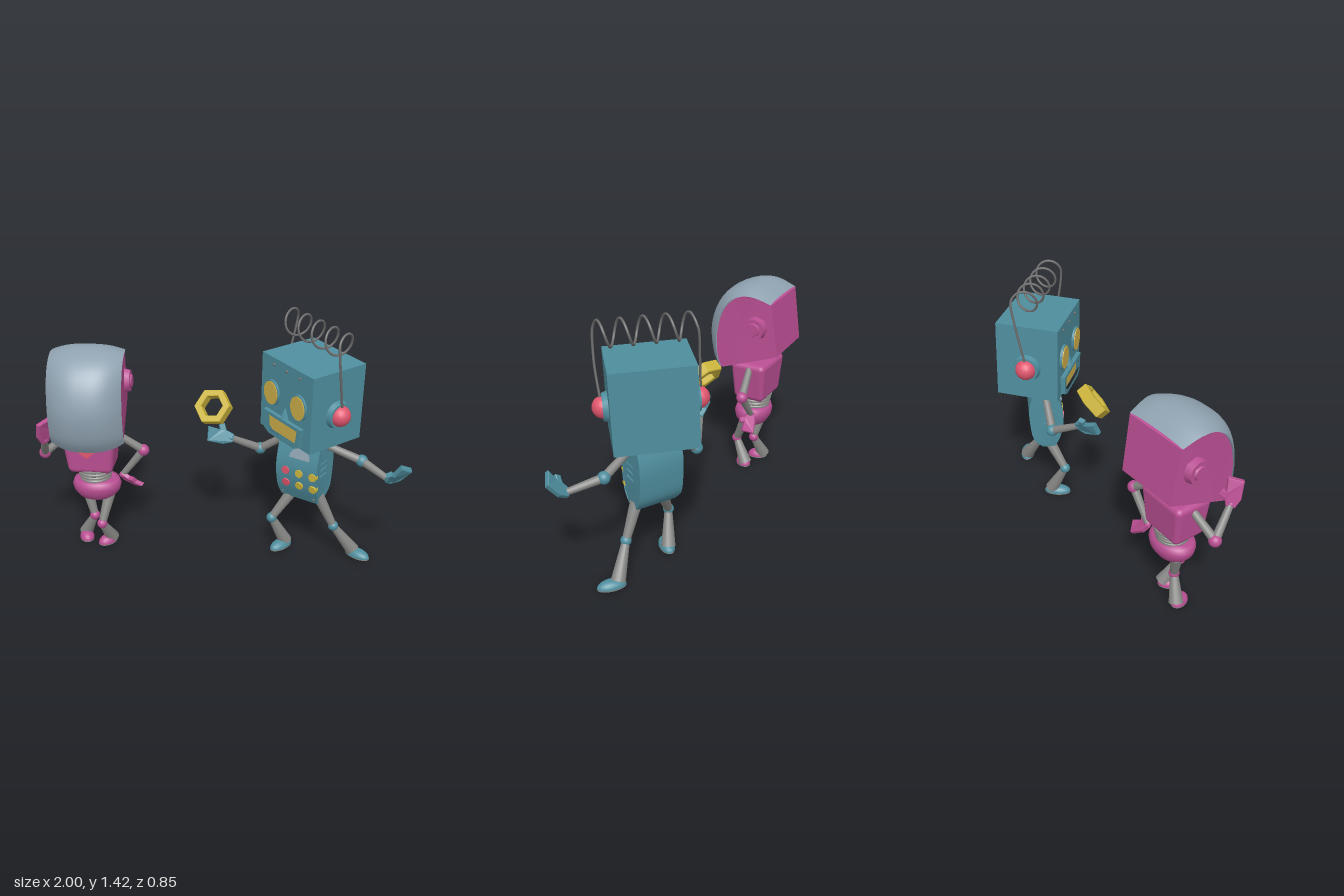
import * as THREE from 'three';
import { toCreasedNormals } from 'three/addons/utils/BufferGeometryUtils.js';
import { RoundedBoxGeometry } from 'three/addons/geometries/RoundedBoxGeometry.js';

const V = (a) => new THREE.Vector3(...a);
const UP = new THREE.Vector3(0, 1, 0);

function mat(name, color, side = THREE.FrontSide) {
  const m = new THREE.MeshStandardMaterial({ color, side });
  m.name = name;
  return m;
}

function add(parent, name, geo, material, pos = [0, 0, 0], rot = [0, 0, 0]) {
  const m = new THREE.Mesh(geo, material);
  m.name = name;
  m.position.set(...pos);
  m.rotation.set(...rot);
  parent.add(m);
  return m;
}

function group(parent, name, pos = [0, 0, 0], yaw = 0) {
  const g = new THREE.Group();
  g.name = name;
  g.position.set(...pos);
  g.rotation.y = yaw;
  parent.add(g);
  return g;
}

// tapered rod from a to b
function rod(parent, name, a, b, ra, rb, material) {
  const A = V(a), B = V(b), d = B.clone().sub(A);
  const m = add(parent, name, new THREE.CylinderGeometry(rb, ra, d.length(), 16), material);
  m.position.copy(A).lerp(B, 0.5);
  m.quaternion.setFromUnitVectors(UP, d.normalize());
}

const ball = (p, name, pos, r, m) => add(p, name, new THREE.SphereGeometry(r, 18, 12), m, pos);

// side profile in (z, y), spread across x
function slab(points, width) {
  const g = new THREE.ExtrudeGeometry(new THREE.Shape(points), { depth: width, bevelEnabled: false });
  g.translate(0, 0, -width / 2);
  g.rotateY(-Math.PI / 2);
  return g;
}

const pts = (list) => list.map(([a, b]) => new THREE.Vector2(a, b));

// mitten hand with thumb, pointing along dir from the wrist
function hand(parent, name, wrist, dir, thumb, size, material) {
  const shape = new THREE.Shape(pts([[-0.02, -0.01], [0.02, -0.01], [0.036, 0.035], [0.07, 0.05], [0.06, 0.075],
    [0.034, 0.066], [0.042, 0.135], [-0.034, 0.128], [-0.038, 0.04]]));
  const geo = new THREE.ExtrudeGeometry(shape, { depth: 0.022, bevelThickness: 0.004, bevelSize: 0.004, bevelSegments: 1 });
  geo.translate(0, 0, -0.011);
  // curl the fingers a little
  const p = geo.attributes.position;
  for (let i = 0; i < p.count; i++) p.setZ(i, p.getZ(i) + 2 * Math.max(0, p.getY(i) - 0.04) ** 2);
  geo.computeVertexNormals();
  geo.scale(size, size, size);
  const m = add(parent, name, geo, material, wrist);
  const y = V(dir).normalize(), z = V(thumb).cross(y).normalize();
  m.quaternion.setFromRotationMatrix(new THREE.Matrix4().makeBasis(y.clone().cross(z), y, z));
}

function arm(parent, side, [shoulder, elbow, wrist], dir, thumb, size, metal, paint) {
  const g = group(parent, side + 'Arm');
  rod(g, 'upperArm', shoulder, elbow, 0.02, 0.024, metal);
  ball(g, 'elbow', elbow, 0.034, paint);
  rod(g, 'forearm', elbow, wrist, 0.024, 0.018, metal);
  ball(g, 'wrist', wrist, 0.02, paint);
  hand(g, 'hand', wrist, dir, thumb, size, paint);
}

function leg(parent, side, [hip, knee, ankle], toe, size, metal, paint) {
  const g = group(parent, side + 'Leg');
  rod(g, 'thigh', hip, knee, 0.034, 0.022, metal);
  ball(g, 'knee', knee, 0.03, paint);
  rod(g, 'shin', knee, ankle, 0.021, 0.04, metal);
  const geo = new THREE.SphereGeometry(1, 20, 8, 0, Math.PI * 2, 0, Math.PI / 2);
  geo.scale(...size);
  const t = V(toe).normalize(), yaw = Math.atan2(t.x, t.z);
  add(g, 'foot', geo, paint, [ankle[0] + t.x * 0.035, 0.006, ankle[2] + t.z * 0.035], [0, yaw, 0]);
  const sole = new THREE.CylinderGeometry(1, 1, 0.006, 20);
  sole.scale(size[0], 1, size[2]);
  add(g, 'sole', sole, metal, [ankle[0] + t.x * 0.035, 0.003, ankle[2] + t.z * 0.035], [0, yaw, 0]);
}

export function createModel() {
  const root = new THREE.Group();
  const teal = mat('teal', 0x4f8e9e), pink = mat('pink', 0xba4f93), metal = mat('limbGrey', 0x878785);
  const visorGrey = mat('visorGrey', 0x8fa2b0, THREE.DoubleSide), red = mat('red', 0xe0566e);
  const gold = mat('gold', 0xcdb53c), amber = mat('amber', 0xd2b24c), wire = mat('wireGrey', 0x6c6c6c);
  const H = Math.PI / 2;

  // ---------- teal robot ----------
  const boy = group(root, 'tealRobot');
  const head = group(boy, 'tealHead', [0.516, 0, -0.013], -1.08);
  head.rotation.x = 0.04;
  add(head, 'headBox', new THREE.BoxGeometry(0.43, 0.44, 0.355), teal, [0, 0.983, 0]);
  for (const s of [-1, 1]) {
    add(head, 'earDisc', new THREE.CylinderGeometry(0.07, 0.08, 0.03, 28), teal, [s * 0.228, 0.955, 0], [0, 0, -s * H]);
    ball(head, 'earLight', [s * 0.238, 0.955, 0], 0.058, red);
    const rim = new THREE.CylinderGeometry(1, 1, 0.016, 28), eye = new THREE.CylinderGeometry(1, 1, 0.008, 28);
    rim.scale(0.064, 1, 0.074);
    eye.scale(0.057, 1, 0.067);
    add(head, 'eyeRim', rim, teal, [s * 0.115, 1.0, 0.182], [H, 0, 0]);
    add(head, 'eye', eye, amber, [s * 0.115, 1.0, 0.191], [H, 0, 0]);
  }
  add(head, 'nose', new THREE.ConeGeometry(0.03, 0.06, 4), teal, [0, 0.925, 0.178]);
  // mouth frame and grille
  const frame = new THREE.Shape(pts([[-0.16, 0.06], [0.16, 0.06], [0.15, -0.05], [0.11, -0.07], [-0.11, -0.07], [-0.15, -0.05]]));
  const inner = pts([[-0.13, 0.042], [0.13, 0.042], [0.122, -0.03], [0.095, -0.047], [-0.095, -0.047], [-0.122, -0.03]]);
  frame.holes.push(new THREE.Path(inner));
  add(head, 'mouthFrame', new THREE.ExtrudeGeometry(frame, { depth: 0.025, bevelEnabled: false }), teal, [0, 0.83, 0.177]);
  add(head, 'mouth', new THREE.ExtrudeGeometry(new THREE.Shape(inner), { depth: 0.009, bevelEnabled: false }), amber, [0, 0.83, 0.177]);
  for (const x of [-0.11, 0, 0.11]) ball(head, 'rivet', [x, 1.165, 0.178], 0.008, wire);

  // coil spring joined to both ears
  const coil = [new THREE.Vector3(0.25, 1.0, 0), new THREE.Vector3(0.262, 1.18, 0.036)];
  const turns = 4.5, steps = 72;
  for (let i = 0; i <= steps; i++) {
    const t = i / steps, a = t * turns * Math.PI * 2;
    coil.push(new THREE.Vector3(0.256 - 0.495 * t, 1.342 + 0.067 * Math.sin(a), -0.012 + 0.065 * Math.cos(a)));
  }
  coil.push(new THREE.Vector3(-0.245, 1.18, -0.045), new THREE.Vector3(-0.25, 1.0, 0));
  add(head, 'springAntenna', new THREE.TubeGeometry(new THREE.CatmullRomCurve3(coil), 420, 0.0065, 8), wire);

  // body curved front and back, flat at the sides, drawn in at the bottom
  const body = group(boy, 'tealBody', [0.495, 0, 0.035], -0.7);
  const front = new THREE.SplineCurve(pts([[0.045, 0.357], [0.085, 0.46], [0.098, 0.59], [0.06, 0.74]])).getPoints(14);
  const back = new THREE.SplineCurve(pts([[-0.07, 0.74], [-0.1, 0.64], [-0.098, 0.52], [-0.08, 0.42], [-0.03, 0.357]])).getPoints(14);
  const trunk = slab([...front, ...back], 0.255);
  const tp = trunk.attributes.position;
  for (let i = 0; i < tp.count; i++) tp.setX(i, tp.getX(i) * (1 - 14 * Math.max(0, 0.44 - tp.getY(i)) ** 2));
  add(body, 'torso', toCreasedNormals(trunk, 0.5), teal);
  [[0.548, 0.094, 0], [0.468, 0.084, 0.2]].forEach(([y, z, tilt]) => [-1, 0, 1].forEach((c) => {
    add(body, 'button', new THREE.CylinderGeometry(0.023, 0.027, 0.022, 16), c < 0 ? red : gold, [0.02 + c * 0.085, y, z], [H + tilt, 0, 0]);
  }));
  add(body, 'gauge', new THREE.CylinderGeometry(0.062, 0.062, 0.012, 24, 1, false, H, Math.PI), visorGrey, [0.015, 0.635, 0.093], [H - 0.27, 0, 0]);
  for (const s of [-1, 1]) {
    for (const y of [0.53, 0.57, 0.61]) add(body, 'vent', new THREE.BoxGeometry(0.01, 0.012, 0.07), teal, [s * 0.1255, y, 0.01]);
    for (const [y, z] of [[0.715, 0.071], [0.385, 0.058]]) ball(body, 'rivet', [s * 0.1, y, z], 0.008, wire);
  }
  add(boy, 'neck', new THREE.CylinderGeometry(0.042, 0.042, 0.08, 18), metal, [0.51, 0.75, 0.03]);

  arm(boy, 'right', [[0.40, 0.705, -0.045], [0.267, 0.59, -0.13], [0.09, 0.685, -0.09]], [-0.97, 0.2, -0.05], [0.15, 0.9, -0.4], 1, metal, teal);
  arm(boy, 'left', [[0.59, 0.715, 0.11], [0.783, 0.64, 0.178], [0.9, 0.595, 0.33]], [0.5, 0.65, 0.55], [-0.8, 0.3, 0.3], 1, metal, teal);
  leg(boy, 'right', [[0.45, 0.385, 0.0], [0.32, 0.207, 0.015], [0.41, 0.025, -0.015]], [-0.8, 0, 0.6], [0.042, 0.038, 0.08], metal, teal);
  leg(boy, 'left', [[0.57, 0.385, 0.1], [0.66, 0.197, 0.127], [0.785, 0.025, 0.125]], [0.65, 0, 0.75], [0.042, 0.038, 0.08], metal, teal);

  // hexagonal nut floating above the hand
  const hex = (r) => Array.from({ length: 6 }, (_, i) => new THREE.Vector2(r * Math.cos(i * Math.PI / 3), r * Math.sin(i * Math.PI / 3)));
  const nutShape = new THREE.Shape(hex(0.1));
  nutShape.holes.push(new THREE.Path(hex(0.068)));
  const nutGeo = new THREE.ExtrudeGeometry(nutShape, { depth: 0.056, bevelThickness: 0.004, bevelSize: 0.004, bevelSegments: 1 });
  nutGeo.translate(0, 0, -0.028);
  const nut = add(root, 'hexNut', nutGeo, gold, [-0.009, 0.886, -0.077]);
  nut.quaternion.setFromUnitVectors(new THREE.Vector3(0, 0, 1), V([-0.42, 0.6, 0.68]).normalize());

  // ---------- pink robot ----------
  const girl = group(root, 'pinkRobot');
  const dome = group(girl, 'pinkHead', [-0.692, -0.008, -0.178], -0.16);
  const edge = new THREE.SplineCurve(pts([[-0.18, 1.158], [-0.08, 1.19], [0, 1.185], [0.075, 1.14], [0.125, 1.06],
    [0.15, 0.96], [0.155, 0.88], [0.145, 0.78], [0.12, 0.72]])).getPoints(24);
  const ridge = new THREE.SplineCurve(pts([[-0.185, 1.175], [-0.08, 1.225], [0.02, 1.225], [0.13, 1.175], [0.205, 1.085],
    [0.245, 0.97], [0.248, 0.87], [0.225, 0.76], [0.185, 0.688]])).getPoints(24);
  edge.push(edge[24].clone());
  ridge.push(edge[24].clone());
  const taper = (z) => 1 + 0.6 * Math.min(0, z + 0.05);
  const shell = slab([new THREE.Vector2(-0.225, 0.845), ...edge.slice(0, 25).reverse()], 0.396);
  const sp = shell.attributes.position;
  for (let i = 0; i < sp.count; i++) sp.setX(i, sp.getX(i) * taper(sp.getZ(i)));
  add(dome, 'headShell', toCreasedNormals(shell, 0.5), pink);

  // visor bulging between the two side edges
  const cols = 24, pos = [], idx = [];
  edge.forEach((e, r) => {
    for (let c = 0; c <= cols; c++) {
      const v = Math.sin((c / cols - 0.5) * Math.PI), k = 1 - Math.abs(v) ** 2.6;
      const z = e.x + (ridge[r].x - e.x) * k;
      pos.push(v * 0.204 * taper(e.x), e.y + (ridge[r].y - e.y) * k + 0.003, z + 0.003);
      const a = r * (cols + 1) + c, b = a + cols + 1;
      if (r < edge.length - 1 && c < cols) idx.push(a, b, a + 1, b, b + 1, a + 1);
    }
  });
  const visor = new THREE.BufferGeometry();
  visor.setAttribute('position', new THREE.Float32BufferAttribute(pos, 3));
  visor.setIndex(idx);
  visor.computeVertexNormals();
  add(dome, 'visor', toCreasedNormals(visor, 0.7), visorGrey);
  for (const s of [-1, 1]) {
    add(dome, 'earDisc', new THREE.CylinderGeometry(0.064, 0.074, 0.044, 8), pink, [s * 0.2, 1.008, -0.09], [0, 0, -s * H]);
    add(dome, 'earCap', new THREE.CylinderGeometry(0.036, 0.042, 0.012, 8), pink, [s * 0.226, 1.008, -0.09], [0, 0, -s * H]);
  }
  add(girl, 'neck', new THREE.CylinderGeometry(0.035, 0.045, 0.12, 16), metal, [-0.69, 0.76, -0.21]);

  // chest narrowing downward, with a heart plate
  const chest = group(girl, 'pinkBody', [-0.695, 0, -0.205], -0.2);
  const box = new RoundedBoxGeometry(0.3, 0.25, 0.22, 4, 0.03);
  const bp = box.attributes.position;
  for (let i = 0; i < bp.count; i++) {
    const low = Math.max(0, -bp.getY(i) - 0.02);
    bp.setX(i, bp.getX(i) * (1 - low * 1.9));
    bp.setZ(i, bp.getZ(i) * (1 - low * 1.5));
  }
  box.computeVertexNormals();
  add(chest, 'torso', box, pink, [0, 0.607, 0]);
  const heart = new THREE.Shape();
  heart.moveTo(0, -0.06);
  heart.bezierCurveTo(-0.04, -0.03, -0.08, 0, -0.075, 0.035);
  heart.bezierCurveTo(-0.065, 0.07, -0.015, 0.07, 0, 0.035);
  heart.bezierCurveTo(0.015, 0.07, 0.065, 0.07, 0.075, 0.035);
  heart.bezierCurveTo(0.08, 0, 0.04, -0.03, 0, -0.06);
  add(chest, 'heart', new THREE.ExtrudeGeometry(heart, { depth: 0.008, bevelEnabled: false }), red, [-0.01, 0.652, 0.107]);

  // ribbed waist and hips
  const ribs = [[0.001, 0.4], [0.084, 0.405]];
  for (let i = 0; i < 4; i++) {
    const r = 0.086 + i * 0.005, y = 0.415 + i * 0.022;
    ribs.push([r - 0.006, y], [r + 0.004, y + 0.006], [r + 0.004, y + 0.016]);
  }
  ribs.push([0.001, 0.505]);
  add(girl, 'waist', toCreasedNormals(new THREE.LatheGeometry(pts(ribs), 28), 0.6), metal, [-0.685, 0, -0.2]);
  const hips = new THREE.LatheGeometry(pts([[0.001, 0.285], [0.06, 0.29], [0.105, 0.312], [0.133, 0.348], [0.142, 0.385],
    [0.13, 0.416], [0.1, 0.426], [0.001, 0.41]]), 32);
  hips.scale(1, 1, 0.78);
  add(girl, 'hips', hips, pink, [-0.68, 0, -0.195], [0, -0.2, 0]);

  arm(girl, 'right', [[-0.82, 0.69, -0.235], [-0.966, 0.577, -0.23], [-0.95, 0.72, -0.1]], [-0.05, 0.95, 0.2], [0.75, 0, -0.65], 1, metal, pink);
  arm(girl, 'left', [[-0.56, 0.7, -0.19], [-0.404, 0.582, -0.19], [-0.53, 0.415, -0.215]], [0.68, -0.68, 0], [0.3, 0.4, 0.7], 0.9, metal, pink);
  leg(girl, 'right', [[-0.745, 0.33, -0.235], [-0.706, 0.163, -0.195], [-0.768, 0.02, -0.245]], [0.15, 0, 0.95], [0.042, 0.042, 0.06], metal, pink);
  leg(girl, 'left', [[-0.61, 0.33, -0.16], [-0.663, 0.163, -0.094], [-0.61, 0.02, -0.17]], [-0.8, 0, 0.6], [0.042, 0.042, 0.06], metal, pink);
  return root;
}
